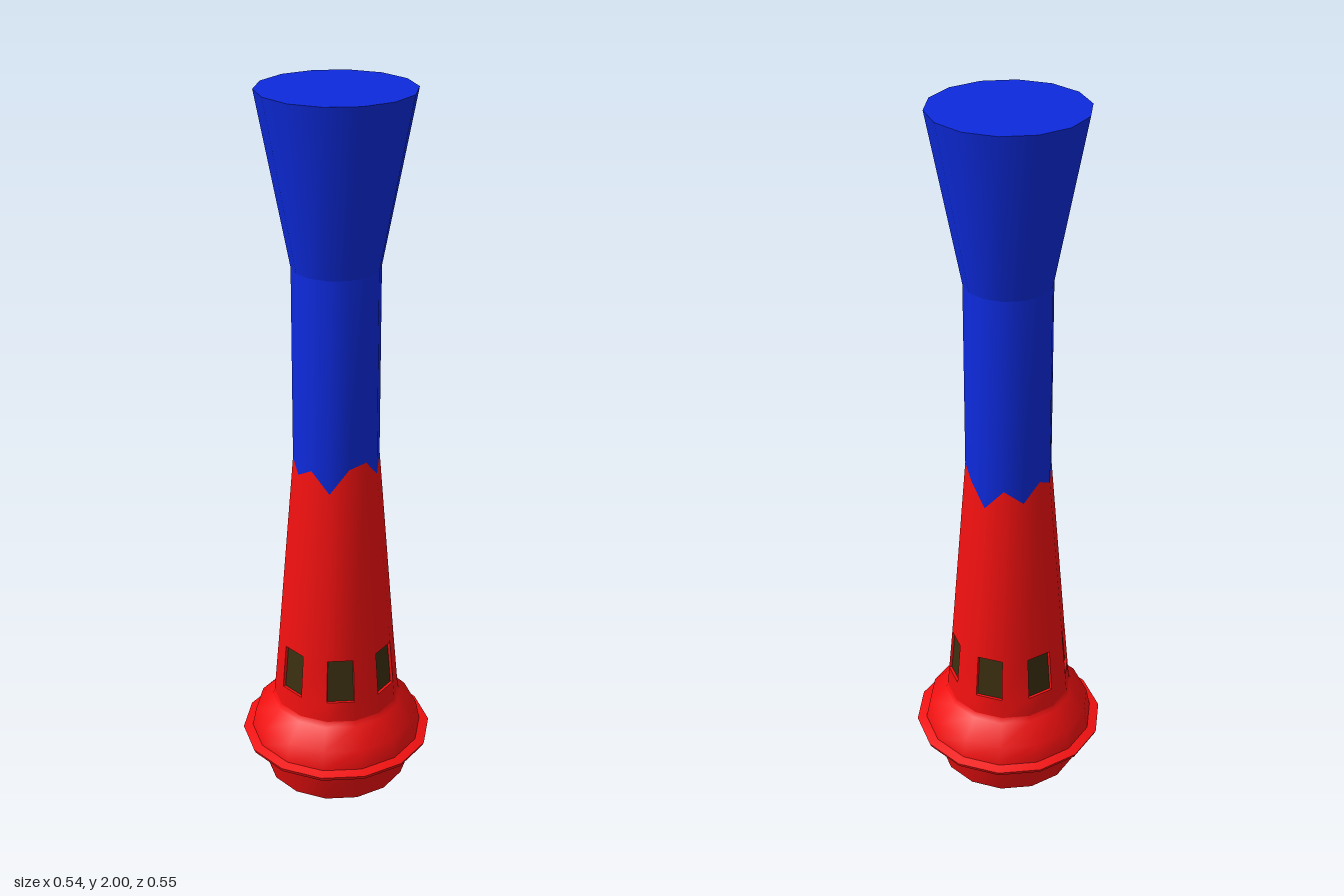
import * as THREE from 'three';

const SIDES = 14;
const TURN = 0.037;
const red = new THREE.MeshStandardMaterial({ color: 0xf21010, side: THREE.DoubleSide });
const blue = new THREE.MeshStandardMaterial({ color: 0x0d2add, side: THREE.DoubleSide });
const dark = new THREE.MeshStandardMaterial({ color: 0x3a2f10, side: THREE.DoubleSide });

// Height of the ragged colour border at each corner of the shaft
const BORDER = [1.01, 1.02, 0.965, 1.01, 0.98, 0.92, 0.98, 0.94, 0.99, 0.96, 1.0, 0.97, 1.0, 0.94];

const shaftRadius = (y) => 0.118 + Math.max(0, 0.97 - y) * 0.086;

function corner(k, r, y) {
  const a = TURN + (k / SIDES) * Math.PI * 2;
  return [r * Math.sin(a), y, r * Math.cos(a)];
}

function indexed(points, index) {
  const geo = new THREE.BufferGeometry();
  geo.setAttribute('position', new THREE.Float32BufferAttribute(points.flat(), 3));
  geo.setIndex(index);
  geo.computeVertexNormals();
  return geo;
}

// Skin rings of corners from bottom to top; each row is a function k -> [radius, y]
function skin(rows, skip = () => false) {
  const points = [], index = [];
  rows.forEach((row, i) => {
    for (let k = 0; k < SIDES; k++) {
      points.push(corner(k, ...row(k)));
      if (i === rows.length - 1 || skip(i, k)) continue;
      const n = (k + 1) % SIDES;
      const a = i * SIDES + k, b = i * SIDES + n;
      index.push(a, b, b + SIDES, a, b + SIDES, a + SIDES);
    }
  });
  return indexed(points, index);
}

const level = (r, y) => () => [r, y];

export function createModel() {
  const group = new THREE.Group();
  const add = (name, geo, mat) => {
    const mesh = new THREE.Mesh(geo, mat);
    mesh.name = name;
    group.add(mesh);
  };

  // Open base cup with a floor set up inside it
  add('baseCup', skin([level(0.203, 0), level(0.238, 0.108)]), red);
  add('recessedFloor', skin([level(0, 0.1), level(0.235, 0.1)]), red);

  // Thin projecting rim
  add('rimUnderside', skin([level(0.238, 0.108), level(0.268, 0.112)]), red);
  add('rimEdge', skin([level(0.268, 0.112), level(0.273, 0.124)]), red);
  add('rimTop', skin([level(0.273, 0.124), level(0.246, 0.13)]), red);

  // Rounded shoulder up to the shaft
  add('shoulder', skin([
    level(0.246, 0.13), level(0.235, 0.185), level(0.187, 0.235), level(shaftRadius(0.25), 0.25),
  ]), red);

  // Tapered lower shaft, with every other facet opened for a window
  const sill = 0.31, head = 0.44;
  add('lowerShaft', skin(
    [0.25, sill, head].map((y) => level(shaftRadius(y), y))
      .concat((k) => [shaftRadius(BORDER[k]), BORDER[k]]),
    (i, k) => i === 1 && k % 2 === 1,
  ), red);

  // Recessed windows with shallow reveals
  const depth = 0.008;
  for (let k = 1; k < SIDES; k += 2) {
    const ring = (d) => [[k, sill], [k + 1, sill], [k + 1, head], [k, head]]
      .map(([c, y]) => corner(c, shaftRadius(y) - d, y));
    const outer = ring(0), inner = ring(depth);
    add('windowPane', indexed(inner, [0, 1, 2, 0, 2, 3]), dark);
    for (let i = 0; i < 4; i++) {
      const j = (i + 1) % 4;
      add('windowReveal', indexed([outer[i], outer[j], inner[j], inner[i]], [0, 1, 2, 0, 2, 3]), red);
    }
  }

  // Upper shaft, flared head and flat top
  add('upperShaft', skin([(k) => [shaftRadius(BORDER[k]), BORDER[k]], level(0.118, 1.54)]), blue);
  add('flaredHead', skin([level(0.118, 1.54), level(0.206, 2)]), blue);
  add('topCap', skin([level(0.206, 2), level(0, 2)]), blue);

  return group;
}
